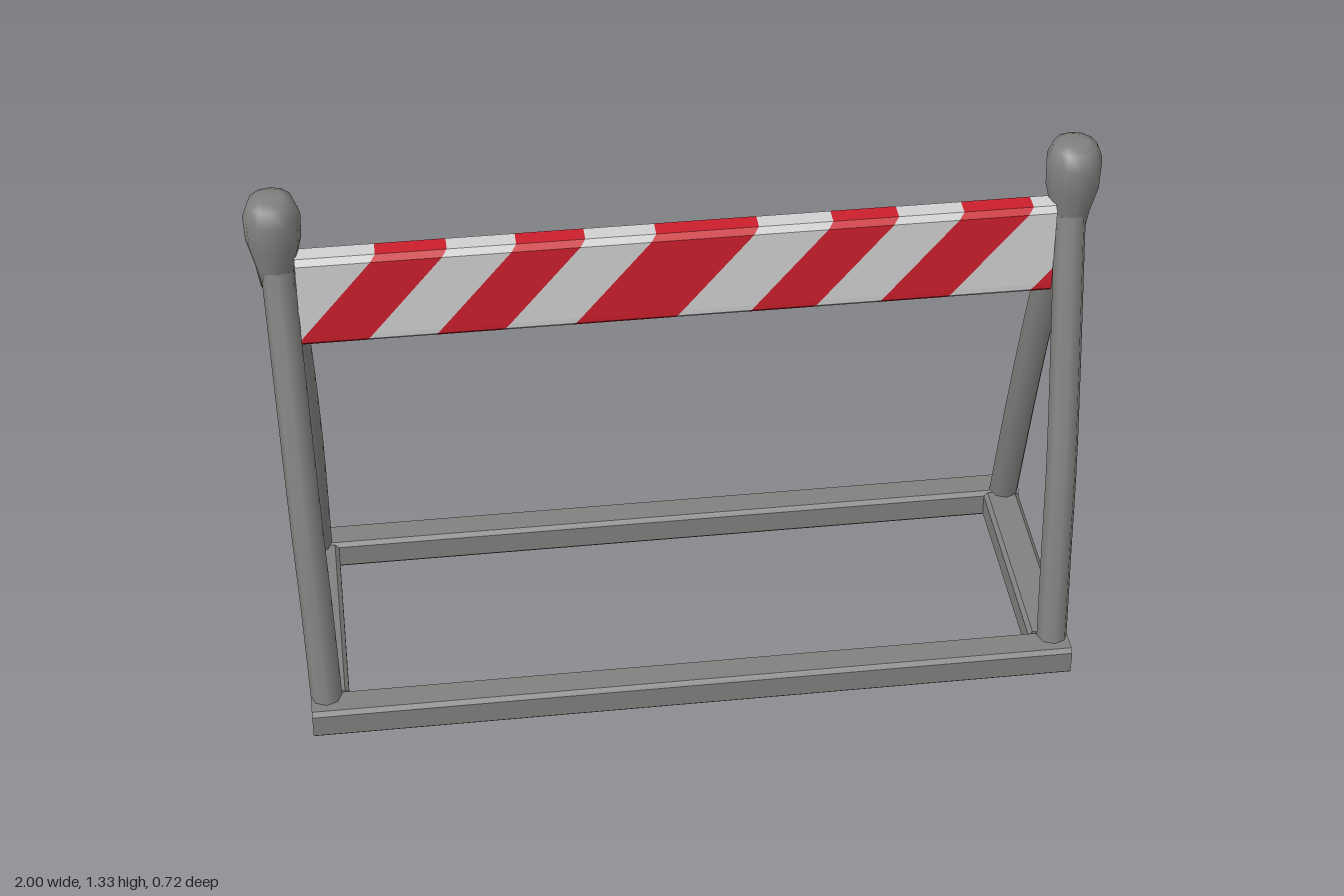
import * as THREE from 'three';

export function createModel() {
  const group = new THREE.Group();
  const grey = new THREE.MeshStandardMaterial({ color: 0x80807e });
  const red = new THREE.MeshStandardMaterial({ color: 0xcc1f2c });
  const white = new THREE.MeshStandardMaterial({ color: 0xd0d0d0 });
  grey.name = 'steelGrey';
  red.name = 'stripeRed';
  white.name = 'stripeWhite';

  const add = (name, geometry, material = grey) => {
    const mesh = new THREE.Mesh(geometry, material);
    mesh.name = name;
    group.add(mesh);
    return mesh;
  };

  // Rectangle outline with cut corners, centred on the origin
  const outline = (Type, w, h, c) => {
    const x = w / 2, y = h / 2;
    return new Type([
      [-x + c, -y], [x - c, -y], [x, -y + c], [x, y - c],
      [x - c, y], [-x + c, y], [-x, y - c], [-x, -y + c],
    ].map(([a, b]) => new THREE.Vector2(a, b)));
  };

  // Long hollow base tubes, open at both ends
  for (const [side, z] of [['front', 0.318], ['back', -0.318]]) {
    const shape = outline(THREE.Shape, 0.084, 0.078, 0.01);
    shape.holes.push(outline(THREE.Path, 0.064, 0.052, 0.004));
    const tube = new THREE.ExtrudeGeometry(shape, { depth: 1.87, bevelEnabled: false });
    tube.translate(0, 0, -0.935).rotateY(Math.PI / 2).translate(0, 0.039, z);
    add(side + 'BaseTube', tube);
  }

  // Leg swept through a few points
  const leg = (points) => {
    const curve = new THREE.CatmullRomCurve3(points.map((p) => new THREE.Vector3(...p)));
    return new THREE.TubeGeometry(curve, 12, 0.038, 8);
  };

  const knobProfile = [
    [0, 1.09], [0.038, 1.09], [0.047, 1.15], [0.064, 1.22],
    [0.066, 1.285], [0.052, 1.322], [0.03, 1.332], [0, 1.332],
  ].map(([r, y]) => new THREE.Vector2(r, y));

  for (const [side, s] of [['left', 1], ['right', -1]]) {
    // Cross bar joining the base tubes
    const bar = new THREE.ExtrudeGeometry(outline(THREE.Shape, 0.09, 0.076, 0.01), { depth: 0.556, bevelEnabled: false });
    add(side + 'CrossBar', bar.translate(s * 0.887, 0.039, -0.278));

    // A-frame legs
    add(side + 'FrontLeg', leg([[s * 0.897, 0.06, 0.295], [s * 0.903, 0.3, 0.247], [s * 0.912, 0.55, 0.19], [s * 0.93, 1.14, 0.008]]));
    add(side + 'BackLeg', leg([[s * 0.897, 0.06, -0.297], [s * 0.897, 0.5, -0.167], [s * 0.905, 0.85, -0.072], [s * 0.918, 1.12, 0.0]]));

    // Rounded head on top of the legs
    const knob = add(side + 'Knob', new THREE.LatheGeometry(knobProfile, 12));
    knob.scale.z = 1.06;
    knob.position.set(s * 0.933, 0, -0.008);
  }

  // Panel cross-section (y, z), counted up the front and down the back
  const bottom = 0.942, height = 0.24, end = 0.89, lean = 0.2;
  const side = [[0, 0.022], [0.01, 0.032], [0.025, 0.033], [0.07, 0.033], [0.225, 0.033], [0.24, 0.022]];
  const ring = [...side, ...side.slice().reverse().map(([y, z]) => [y, -z])];
  const clampX = (x) => Math.max(-end, Math.min(end, x));

  // One slanted band of the panel between two lower x values
  const band = (x0, x1) => {
    const n = ring.length, pos = [];
    const at = (i, x) => {
      const [y, z] = ring[i % n];
      return [clampX(x + lean * y / height), bottom + y, z + 0.01];
    };
    for (let i = 0; i < n; i++) {
      const a = at(i, x0), b = at(i, x1), c = at(i + 1, x1), d = at(i + 1, x0);
      pos.push(...a, ...b, ...c, ...a, ...c, ...d);
    }
    // Flat caps where the band meets a panel end
    for (let i = 1; i < n - 1; i++) {
      if (x0 < -end) pos.push(...at(0, x0), ...at(i, x0), ...at(i + 1, x0));
      if (x1 > end) pos.push(...at(0, x1), ...at(i + 1, x1), ...at(i, x1));
    }
    const geometry = new THREE.BufferGeometry();
    geometry.setAttribute('position', new THREE.Float32BufferAttribute(pos, 3));
    geometry.computeVertexNormals();
    return geometry;
  };

  // Alternating stripes along the panel
  const edges = [-1.3, -0.905, -0.74, -0.58, -0.42, -0.255, -0.015, 0.16, 0.315, 0.47, 0.635, 0.832, 1.2];
  for (let i = 0; i < edges.length - 1; i++) {
    const isRed = i % 2 === 1;
    add((isRed ? 'redStripe' : 'whiteStripe') + i, band(edges[i], edges[i + 1]), isRed ? red : white);
  }

  return group;
}
